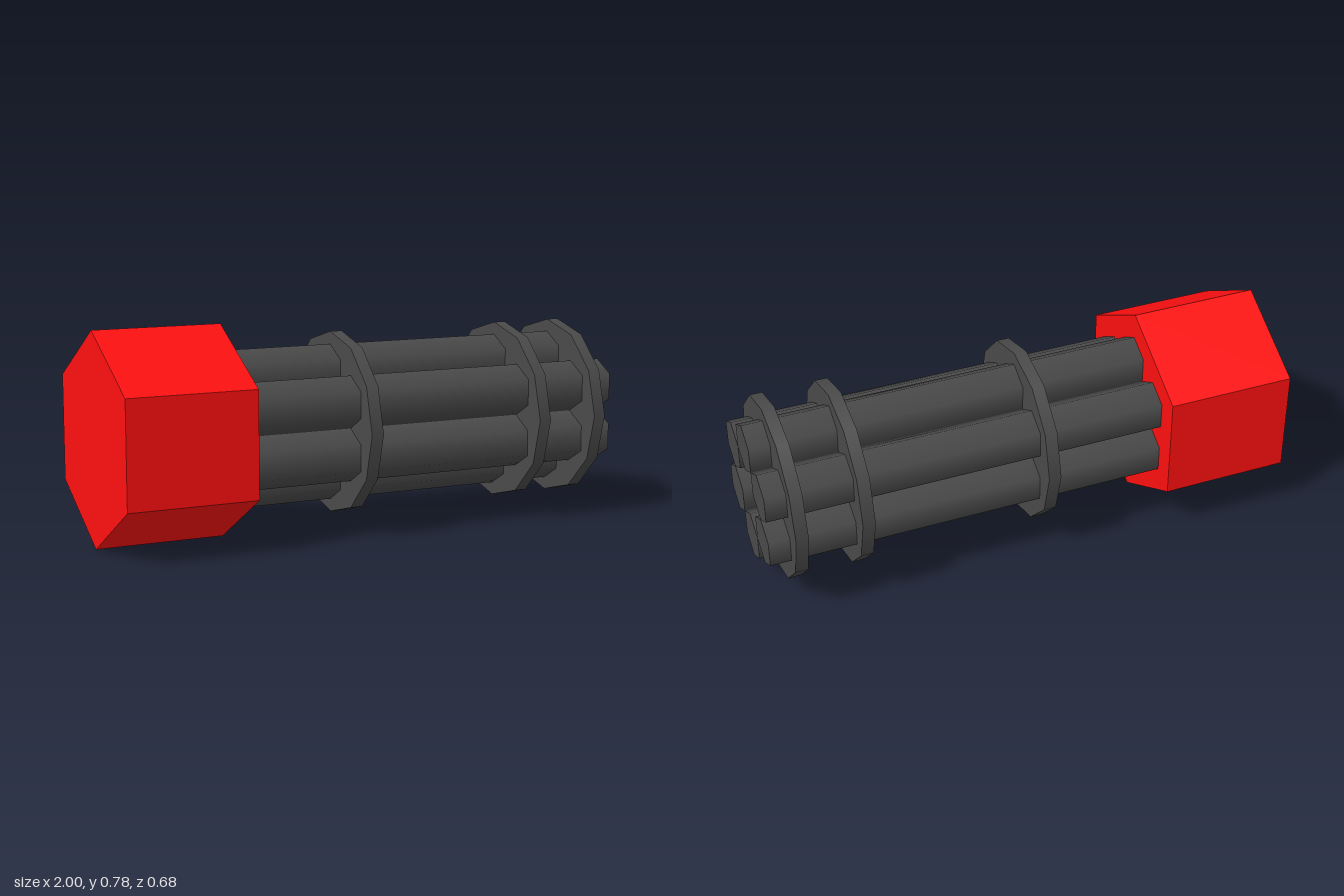
import * as THREE from 'three';

const AXIS_Y = 0.39;

// Prism lying along x from x0 to x1, with one corner pointing straight up
function prism(name, radius, sides, x0, x1, material) {
  const geometry = new THREE.CylinderGeometry(radius, radius, x1 - x0, sides, 1, false, Math.PI / 2);
  geometry.rotateZ(-Math.PI / 2);
  const mesh = new THREE.Mesh(geometry, material);
  mesh.name = name;
  mesh.position.set((x0 + x1) / 2, AXIS_Y, 0);
  return mesh;
}

export function createModel() {
  const model = new THREE.Group();
  model.name = 'rotaryGun';
  const red = new THREE.MeshStandardMaterial({ color: 0xff1010, flatShading: true });
  const dark = new THREE.MeshStandardMaterial({ color: 0x4a4a4a });

  // Hexagonal housing at the rear
  model.add(prism('housing', 0.39, 6, -1, -0.515, red));

  // Six barrels in a ring around the axis
  const barrels = new THREE.Group();
  barrels.name = 'barrels';
  for (let i = 0; i < 6; i++) {
    const angle = (i * Math.PI) / 3;
    const barrel = prism('barrel', 0.0975, 6, -0.53, 1, dark);
    barrel.position.y += 0.195 * Math.cos(angle);
    barrel.position.z = 0.195 * Math.sin(angle);
    barrels.add(barrel);
  }
  model.add(barrels);

  // Twelve-sided plates that clamp the barrels together
  for (const x of [-0.053, 0.655, 0.898]) {
    model.add(prism('clampPlate', 0.34, 12, x - 0.0235, x + 0.0235, dark));
  }
  return model;
}
